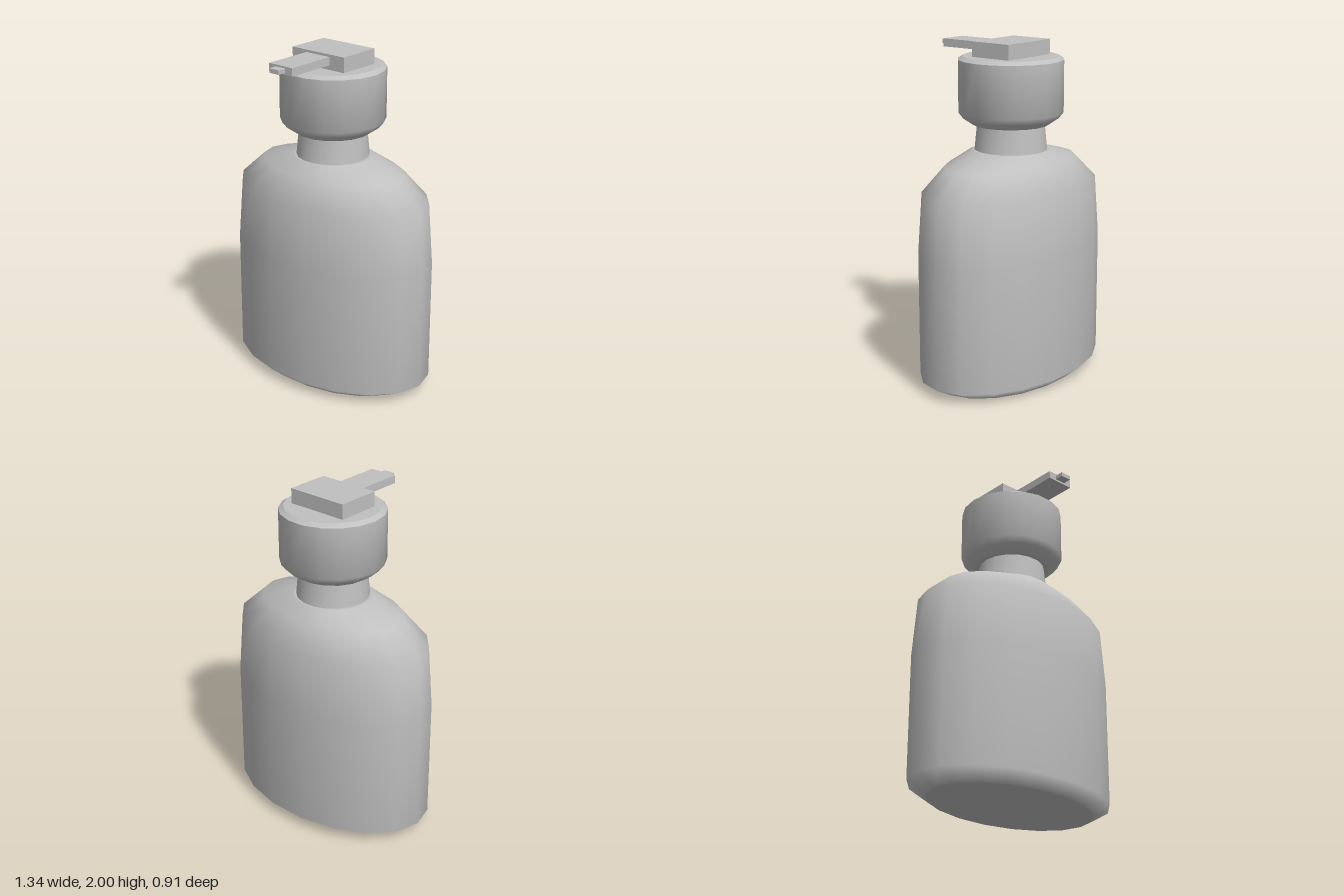
import * as THREE from 'three';
import { mergeVertices, toCreasedNormals } from 'three/addons/utils/BufferGeometryUtils.js';

const SIDES = 18;
const AXIS_Z = -0.035;

export function createModel() {
  const model = new THREE.Group();
  model.name = 'pumpBottle';

  const grey = new THREE.MeshStandardMaterial({ color: 0xc0c0c0 });
  grey.name = 'plainGrey';

  function add(name, geometry, x, y, z) {
    const mesh = new THREE.Mesh(geometry, grey);
    mesh.name = name;
    mesh.position.set(x, y, z);
    model.add(mesh);
    return mesh;
  }

  // Loft elliptical rings [y, radiusX, radiusZ] from bottom to top, smooth below the crease angle
  function loft(rings, crease) {
    const positions = [];
    const index = [];
    for (const [y, rx, rz] of rings) {
      for (let i = 0; i < SIDES; i++) {
        const a = (i / SIDES) * Math.PI * 2;
        positions.push(rx * Math.cos(a), y, rz * Math.sin(a));
      }
    }
    for (let r = 0; r < rings.length - 1; r++) {
      for (let i = 0; i < SIDES; i++) {
        const j = (i + 1) % SIDES;
        const a = r * SIDES + i, b = r * SIDES + j;
        index.push(a, a + SIDES, b, b, a + SIDES, b + SIDES);
      }
    }
    const g = new THREE.BufferGeometry();
    g.setAttribute('position', new THREE.Float32BufferAttribute(positions, 3));
    g.setIndex(index);
    if (crease) return toCreasedNormals(mergeVertices(g), crease);
    g.computeVertexNormals();
    return g;
  }

  // Flat elliptical disc facing up or down
  function disc(rx, rz, up) {
    const g = new THREE.CircleGeometry(1, SIDES);
    g.scale(rx, rz, 1);
    g.rotateX(up ? -Math.PI / 2 : Math.PI / 2);
    return g;
  }

  // Oval bottle body, narrowing to a round shoulder
  add('body', loft([
    [0, 0.55, 0.35],
    [0.065, 0.67, 0.427],
    [0.8, 0.67, 0.427],
    [1.16, 0.64, 0.406],
    [1.3, 0.485, 0.3],
    [1.37, 0.228, 0.228],
  ]), 0, 0, AXIS_Z);
  add('base', disc(0.55, 0.35, false), 0, 0, AXIS_Z);
  add('shoulderTop', disc(0.228, 0.228, true), 0, 1.37, AXIS_Z);

  // Neck
  add('neck', loft([[1.36, 0.215, 0.215], [1.53, 0.198, 0.198]]), 0, 0, AXIS_Z);

  // Round pump collar with bevelled rims
  add('collar', loft([
    [1.517, 0.225, 0.225],
    [1.555, 0.28, 0.28],
    [1.59, 0.308, 0.308],
    [1.893, 0.308, 0.308],
    [1.912, 0.28, 0.28],
  ], Math.PI / 4), 0, 0, AXIS_Z);
  add('collarUnderside', disc(0.225, 0.225, false), 0, 1.517, AXIS_Z);
  add('collarTop', disc(0.28, 0.28, true), 0, 1.912, AXIS_Z);

  // Push button, spout and nozzle, each butted to the one behind
  add('pushButton', new THREE.BoxGeometry(0.38, 0.09, 0.268), 0, 1.955, -0.037);
  add('spout', new THREE.BoxGeometry(0.17, 0.047, 0.308), 0, 1.962, 0.25);
  add('nozzle', new THREE.BoxGeometry(0.068, 0.025, 0.052), 0, 1.962, 0.43);

  return model;
}
